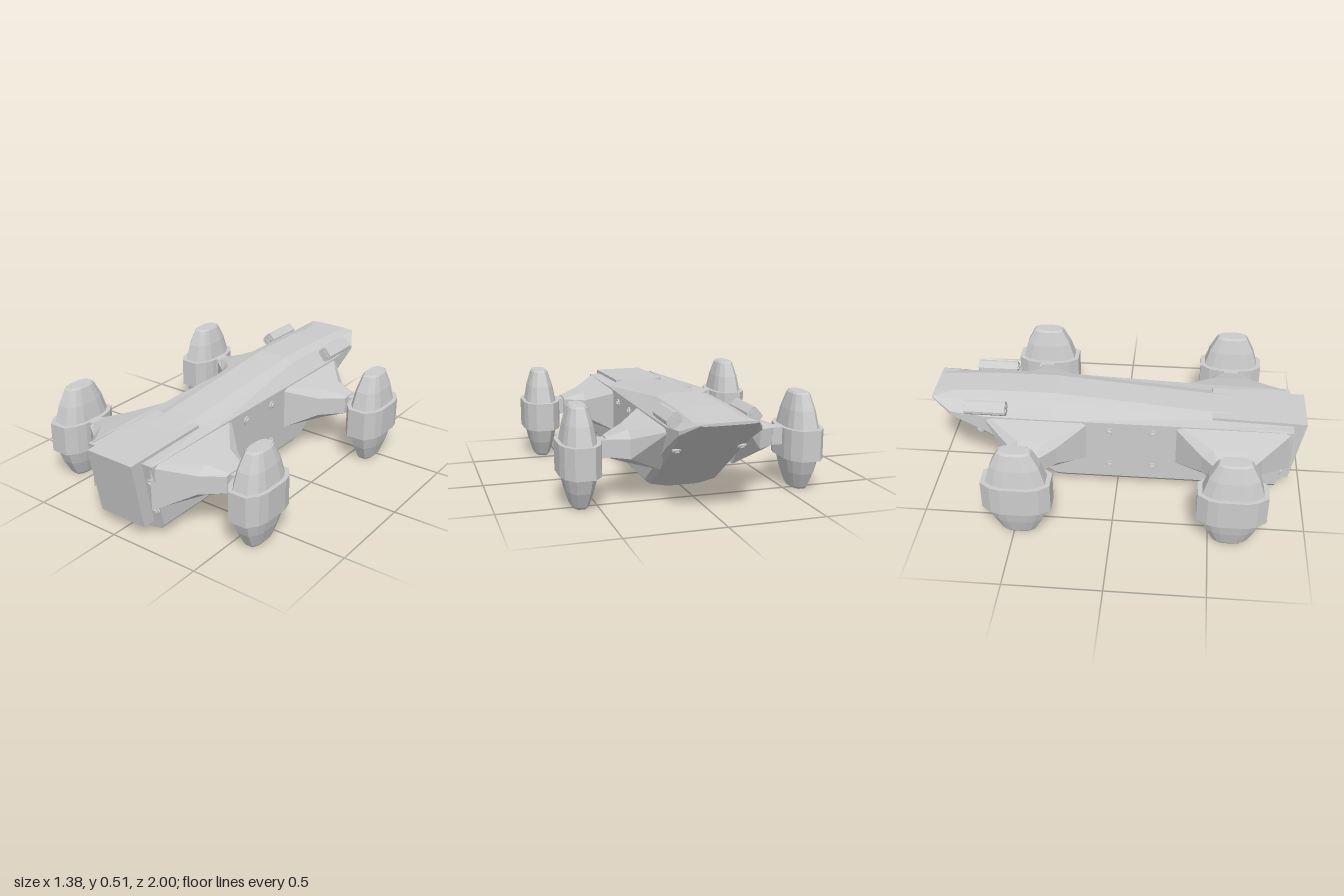
import * as THREE from 'three';

const material = new THREE.MeshStandardMaterial({ color: 0xcccccc, flatShading: true, side: THREE.DoubleSide });

function add(parent, name, geometry, x = 0, y = 0, z = 0) {
  const mesh = new THREE.Mesh(geometry, material);
  mesh.name = name;
  mesh.position.set(x, y, z);
  parent.add(mesh);
  return mesh;
}

// Skin a row of equal-length rings of [x, y, z] points and close both ends.
function loft(rings) {
  const tris = [];
  const n = rings[0].length;
  for (let i = 0; i < rings.length - 1; i++) {
    for (let j = 0; j < n; j++) {
      const a = rings[i][j], b = rings[i][(j + 1) % n];
      const c = rings[i + 1][(j + 1) % n], d = rings[i + 1][j];
      tris.push([a, b, c], [a, c, d]);
    }
  }
  const cap = (ring, flip) => {
    const mid = [0, 1, 2].map(k => ring.reduce((s, p) => s + p[k], 0) / n);
    ring.forEach((p, j) => {
      const q = ring[(j + 1) % n];
      tris.push(flip ? [mid, q, p] : [mid, p, q]);
    });
  };
  cap(rings[0], true);
  cap(rings[rings.length - 1], false);
  // a negative volume means the faces point inwards
  const v = tris.map(t => t.map(p => new THREE.Vector3(...p)));
  const volume = v.reduce((s, [a, b, c]) => s + a.dot(b.clone().cross(c)), 0);
  const ordered = volume < 0 ? tris.map(t => [t[0], t[2], t[1]]) : tris;
  const g = new THREE.BufferGeometry();
  g.setAttribute('position', new THREE.Float32BufferAttribute(ordered.flat(2), 3));
  g.computeVertexNormals();
  return g;
}

// Hull cross-section: rounded floor, upright side, sloping shoulder, flat roof.
function hullRing({ z, floor, shoulder, roof, w = 0.205, c = 0.05, rake = 0 }) {
  const inner = Math.min(0.14, w);
  const half = [
    [0.08, floor], [w * 0.87, floor + c * 0.4], [w, floor + c],
    [w, shoulder], [inner, Math.max(shoulder, roof - 0.018)], [0.085, roof],
  ];
  const ring = [...half, ...half.slice().reverse().map(([x, y]) => [-x, y])];
  return ring.map(([x, y]) => [x, y, z - rake * (roof - y) / (roof - floor)]);
}

// Engine cross-section: a long twelve-sided oval.
function oval(y, hx, hz) {
  const q = [[1, 0.4], [0.86, 0.7], [0.48, 1]];
  const flipX = q.slice().reverse().map(([x, z]) => [-x, z]);
  const front = [...q, ...flipX];
  const back = front.map(([x, z]) => [-x, -z]);
  return [...front, ...back].map(([x, z]) => [x * hx, y, z * hz]);
}

function engine() {
  const g = new THREE.Group();
  const levels = [
    [0, 0.036, 0.075], [0.012, 0.045, 0.085], [0.09, 0.068, 0.125], [0.17, 0.084, 0.152],
    [0.33, 0.084, 0.152], [0.42, 0.068, 0.125], [0.5, 0.045, 0.085], [0.51, 0.036, 0.075],
  ];
  add(g, 'enginePod', loft(levels.map(l => oval(...l))));
  add(g, 'engineCollar', loft([oval(0.17, 0.104, 0.176), oval(0.33, 0.104, 0.176)]));
  return g;
}

// Wing cross-section: zb/zf are its ends, inset narrows its top and bottom.
function wingRing(side, [x, zb, zf, inset, y0, y1, y2, y3, lean = 0]) {
  return [
    [zb + inset, y0], [zf - inset, y0], [zf, y1], [zf, y2],
    [zf - inset, y3], [zb + inset, y3], [zb, y2], [zb, y1],
  ].map(([z, y], i) => [side * x, y, z + (i === 1 || i === 2 ? -lean : 0) + (i === 0 || i === 7 ? lean : 0)]);
}

// Round fastener lying with its axis on the given direction.
function bolt(parent, position, direction) {
  const g = new THREE.Group();
  g.name = 'bolt';
  add(g, 'boltRim', new THREE.CylinderGeometry(0.024, 0.024, 0.016, 10));
  add(g, 'boltCap', new THREE.CylinderGeometry(0.011, 0.015, 0.008, 8), 0, 0.011, 0);
  g.position.set(...position);
  g.quaternion.setFromUnitVectors(new THREE.Vector3(0, 1, 0), new THREE.Vector3(...direction).normalize());
  parent.add(g);
}

export function createModel() {
  const model = new THREE.Group();
  model.name = 'hoverCraft';

  // main hull
  const stations = [
    { z: 0.93, floor: 0.01, shoulder: 0.408, roof: 0.42, rake: 0.08 },
    { z: 0.46, floor: 0.01, shoulder: 0.415, roof: 0.442 },
    { z: -0.3, floor: 0.01, shoulder: 0.415, roof: 0.506 },
    { z: -0.34, floor: 0.015, shoulder: 0.415, roof: 0.51 },
    { z: -0.7, floor: 0.268, shoulder: 0.418, roof: 0.508 },
    { z: -0.89, floor: 0.4, shoulder: 0.44, roof: 0.497, c: 0.02 },
    { z: -1, floor: 0.478, shoulder: 0.488, roof: 0.492, w: 0.14, c: 0.004 },
  ];
  add(model, 'hull', loft(stations.map(hullRing)));

  // raked nose block
  const nose = new THREE.Shape([
    new THREE.Vector2(1, 0.422), new THREE.Vector2(0.5, 0.438),
    new THREE.Vector2(0.5, 0.06), new THREE.Vector2(0.93, 0.06),
  ]);
  const noseGeometry = new THREE.ExtrudeGeometry(nose, { depth: 0.28, bevelEnabled: false });
  noseGeometry.rotateY(-Math.PI / 2);
  add(model, 'noseBlock', noseGeometry, 0.14, 0, 0);

  const frontWing = [
    [0.19, 0.3, 0.925, 0.02, 0.17, 0.17, 0.4, 0.412, 0],
    [0.34, 0.45, 0.765, 0.06, 0.205, 0.235, 0.335, 0.372, 0],
    [0.45, 0.54, 0.68, 0.025, 0.235, 0.24, 0.33, 0.336, 0],
  ];
  const rearWing = [
    [0.19, -0.72, -0.15, 0.02, 0.17, 0.17, 0.4, 0.412, 0],
    [0.34, -0.56, -0.31, 0.05, 0.205, 0.235, 0.335, 0.372, 0],
    [0.45, -0.5, -0.41, 0.02, 0.235, 0.24, 0.33, 0.336, 0],
  ];
  // the rear wing root follows the slope of the tail
  const rearRoot = side => wingRing(side, rearWing[0]).map(([x, y, z], i) =>
    [x, y, i === 0 || i === 7 ? z + 0.16 : z]);

  for (const side of [1, -1]) {
    add(model, 'frontWing', loft(frontWing.map(s => wingRing(side, s))));
    add(model, 'rearWing', loft([rearRoot(side), ...rearWing.slice(1).map(s => wingRing(side, s))]));

    // lift engines on short struts
    for (const [label, z] of [['front', 0.61], ['rear', -0.475]]) {
      add(model, label + 'Strut', new THREE.BoxGeometry(0.1, 0.09, 0.085), side * 0.475, 0.285, z);
      const e = engine();
      e.name = label + 'Engine';
      e.position.set(side * 0.585, 0, z);
      model.add(e);
    }

    // tilted tail launcher with paired barrels
    const launcher = new THREE.Group();
    launcher.name = 'tailLauncher';
    const outline = [[-0.037, -0.02], [-0.027, -0.03], [0.027, -0.03], [0.037, -0.02],
      [0.037, 0.02], [0.027, 0.03], [-0.027, 0.03], [-0.037, 0.02]];
    add(launcher, 'launcherBody', loft([-0.11, 0.11].map(z => outline.map(([x, y]) => [x, y, z]))));
    for (const end of [-1, 1]) {
      for (const x of [-0.014, 0.014]) {
        add(launcher, 'barrel', new THREE.BoxGeometry(0.016, 0.03, 0.008), x, 0, end * 0.112);
      }
    }
    launcher.position.set(side * 0.198, 0.472, -0.7);
    launcher.rotation.z = -side * 0.85;
    model.add(launcher);

    // fasteners on the flanks, beside the nose and under the tail
    for (const y of [0.14, 0.36]) {
      for (const z of [0.19, -0.04]) bolt(model, [side * 0.205, y, z], [side, 0, 0]);
    }
    for (const y of [0.14, 0.305]) {
      bolt(model, [side * 0.175, y, 0.85 + 0.08 * (y - 0.01) / 0.41], [0, -0.19, 1]);
    }
    bolt(model, [side * 0.165, 0.31, -0.74], [0, -0.82, -0.57]);
  }
  return model;
}
